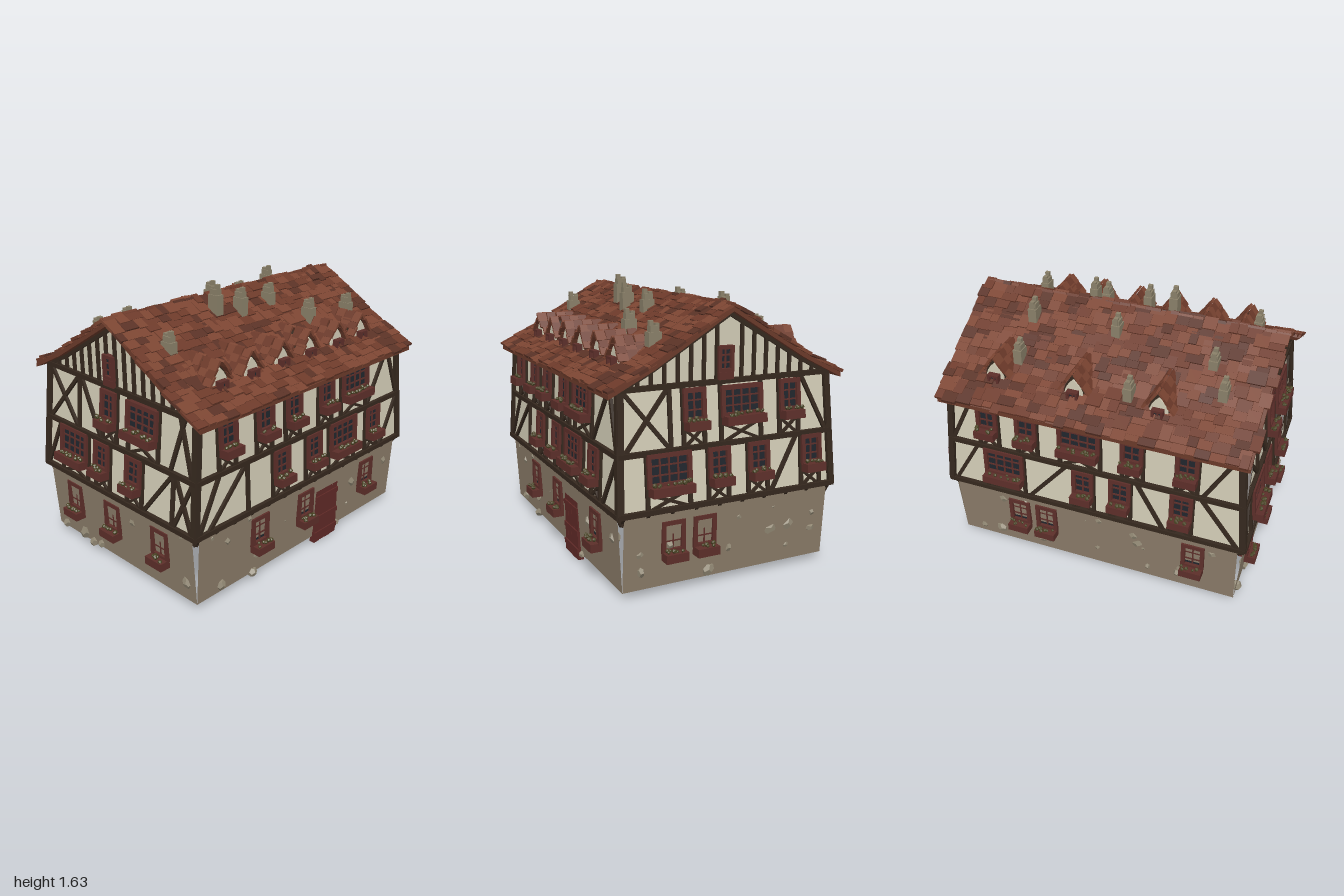
import * as THREE from 'three';
import { mergeGeometries } from 'three/addons/utils/BufferGeometryUtils.js';

const COLOR = {
  plaster: 0xd2ccb6, stone: 0x8b7c69, timber: 0x35281e, frame: 0x5c2e29, glass: 0x20252c, door: 0x5f2926,
  boulder: 0x8f8672, chimney: 0x8a8069, plants: 0x4a4424, roof: 0x6b3a2a, tileA: 0x7c4532, tileB: 0x6d3a2a, tileC: 0x5a3226,
};
let seed = 7;
const rnd = (a = 0, b = 1) => {
  seed = (seed * 16807) % 2147483647;
  return a + (b - a) * (seed / 2147483647);
};

// Collect geometries by part name, merged into one mesh each at the end
let parts;
function add(name, color, geo, matrix) {
  const g = geo.index ? geo.toNonIndexed() : geo;
  g.deleteAttribute('uv');
  if (matrix) g.applyMatrix4(matrix);
  g.computeVertexNormals();
  if (!parts.has(name)) parts.set(name, { color, geos: [] });
  parts.get(name).geos.push(g);
}
const box = (w, h, d, x = 0, y = 0, z = 0) => new THREE.BoxGeometry(w, h, d).translate(x, y, z);
const V = (x, y, z) => new THREE.Vector3(x, y, z);
const polygon = (pts) => new THREE.Shape(pts.map(([x, y]) => new THREE.Vector2(x, y)));

// Floor heights and the roof profile with its kicked-out eaves
const Y1 = 0.485, Y2 = 0.795, Y3 = 1.13;
const EAVE = [0.715, 1.122], KINK = [0.46, 1.25], RIDGE = [0, 1.525];
const roofY = (x) => {
  const a = Math.abs(x), [p, q] = a > KINK[0] ? [KINK, EAVE] : [RIDGE, KINK];
  return p[1] + (q[1] - p[1]) * (a - p[0]) / (q[0] - p[0]);
};
// Half extents: [ground, upper storeys at bottom, upper storeys at top]
const HALF_X = [0.64, 0.665, 0.637], HALF_Z = [0.9, 0.93, 0.872];
const extent = (h, y) => y < Y1 - 0.01 ? h[0] : h[1] + (h[2] - h[1]) * Math.min(1, (y - Y1) / (Y3 - Y1));

// One wall in its own frame: u runs along it, y up, z outward
function buildSide({ side, turn, ground, first, firstWide = [], second, secondWide = [], braces = [], stones, attic, dormers = [], door }) {
  const gable = attic !== undefined;
  const [across, out] = gable ? [HALF_X, HALF_Z] : [HALF_Z, HALF_X];
  const off = (y) => extent(out, y), half = (y) => extent(across, y);
  const M = new THREE.Matrix4().makeRotationY(turn).setPosition(-0.01, 0, -0.01);
  const put = (part, color, geo, local) => {
    if (local) geo.applyMatrix4(local);
    add(side + part, color, geo, M);
  };

  const panel = (part, color, pts, z) => {
    const g = new THREE.ShapeGeometry(polygon(pts)), p = g.attributes.position;
    for (let i = 0; i < p.count; i++) p.setZ(i, z ?? off(p.getY(i)));
    put(part, color, g);
  };
  const beam = (u1, y1, u2, y2, w = 0.022, d = 0.032) => {
    const a = V(u1, y1, off(y1)), b = V(u2, y2, off(y2)), x = b.clone().sub(a);
    const len = x.length(), y = V(0, 0, 1).cross(x.normalize()).normalize(), z = x.clone().cross(y);
    const m = new THREE.Matrix4().makeBasis(x, y, z).setPosition(a.add(b).multiplyScalar(0.5));
    put('Timbers', COLOR.timber, box(len, w, d), m);
  };

  // Framed window with glazing bars and an optional planter
  const windowAt = (u, y, w, h, planter = true, z = off(y)) => {
    const tilt = y > Y1 && y < Y3 ? Math.atan2(out[1] - out[2], Y3 - Y1) : 0;
    const m = new THREE.Matrix4().makeRotationX(-tilt).setPosition(u, y, z);
    const t = Math.min(0.024, w * 0.2), f = (g) => put('WindowFrames', COLOR.frame, g, m);
    put('WindowGlass', COLOR.glass, box(w - t, h - t, 0.012, 0, 0, 0.007), m);
    for (const s of [-1, 1]) {
      f(box(t, h, 0.055, s * (w - t) / 2, 0, 0.005));
      f(box(w, t, 0.055, 0, s * (h - t) / 2, 0.005));
    }
    const cols = w > 0.2 ? 4 : 2;
    for (let i = 1; i < cols; i++) f(box(0.009, h - t, 0.04, (i / cols - 0.5) * (w - 2 * t), 0, 0));
    for (const k of h > 0.1 ? [-1, 1] : [0]) f(box(w - t, 0.008, 0.04, 0, k * h / 7, 0));
    if (!planter) return;
    f(box(w * 0.95, 0.048, 0.07, 0, -h / 2 - 0.016, 0.045));
    for (let i = 0; i < w / 0.022; i++) {
      const g = new THREE.IcosahedronGeometry(rnd(0.008, 0.015), 0);
      put('Plants', COLOR.plants, g.translate(rnd(-0.42, 0.42) * w, -h / 2 + rnd(0.01, 0.025), rnd(0.04, 0.07)), m);
    }
  };
  const framedWindow = (u, y, w, h, floor, ceiling) => {
    windowAt(u, y, w, h);
    const e = w / 2 - 0.005, low = y - h / 2 - 0.03;
    for (const s of [-1, 1]) {
      beam(u + s * e, floor, u + s * e, ceiling);
      beam(u - s * e, floor, u + s * e, low, 0.016, 0.026);
    }
  };

  // Wall faces
  panel('GroundWall', COLOR.stone, [[-half(0), 0.045], [half(0), 0.045], [half(0), Y1], [-half(0), Y1]]);
  panel('UpperWall', COLOR.plaster, [[-half(Y1), Y1], [half(Y1), Y1], [half(Y3), Y3], [-half(Y3), Y3]]);

  // Floor beams, corner posts and the row of brackets under the overhang
  for (const y of [Y1, Y2, Y3]) beam(-half(y) - 0.012, y, half(y) + 0.012, y, 0.028, 0.045);
  for (const s of [-1, 1]) beam(s * half(Y1), Y1, s * half(Y3), Y3, 0.034, 0.04);
  const n = gable ? 9 : 13;
  for (let i = 0; i <= n; i++) {
    const u = (i / n * 2 - 1) * (half(Y1) - 0.02);
    const m = new THREE.Matrix4().makeRotationX(0.6).setPosition(u, Y1 - 0.03, out[0] + 0.016);
    put('Brackets', COLOR.timber, box(0.02, 0.07, 0.022), m);
  }
  for (const [a, b, c, d] of braces) beam(a, b, c, d);

  // Windows storey by storey
  for (const u of ground) windowAt(u, 0.325, 0.14, 0.18);
  for (const u of first) framedWindow(u, 0.70, 0.135, 0.17, Y1, Y2);
  for (const u of firstWide) framedWindow(u, 0.70, 0.26, 0.18, Y1, Y2);
  for (const u of second) framedWindow(u, 1.02, 0.135, 0.18, Y2, Y3);
  for (const u of secondWide) framedWindow(u, 1.02, 0.26, 0.17, Y2, Y3);

  // Boulders set into the ground floor
  for (const [u, y, r] of stones) {
    const m = new THREE.Matrix4().makeRotationZ(rnd(0, 3)).scale(V(r, r * 0.75, Math.min(r, 0.032)));
    put('Boulders', COLOR.boulder, new THREE.DodecahedronGeometry(1, 0), m.setPosition(u, y, out[0]));
  }

  // Gable triangle with close vertical studs and the small attic window
  if (gable) {
    const e = half(Y3), k = KINK[0], drop = 0.02;
    panel('Gable', COLOR.plaster, [[-e, Y3], [e, Y3], [e, roofY(e) - drop], [k, roofY(k) - drop], [0, RIDGE[1] - drop],
      [-k, roofY(k) - drop], [-e, roofY(e) - drop]], off(Y3));
    for (let i = -7; i <= 7; i++) if (Math.abs(i * 0.077 - attic) > 0.035) beam(i * 0.077, Y3, i * 0.077, roofY(i * 0.077) - 0.03, 0.018);
    for (const s of [-1, 1]) {
      beam(s * 0.64, roofY(0.64) - 0.035, s * k, roofY(k) - 0.035);
      beam(s * k, roofY(k) - 0.035, 0, RIDGE[1] - 0.04);
    }
    windowAt(attic, 1.25, 0.095, 0.14, false);
    put('WindowFrames', COLOR.frame, box(0.09, 0.04, 0.04, attic, 1.16, off(Y3) + 0.015));
  }

  // Dormers: pointed plaster front, dark arch trim, steep tiled roof
  for (const u of dormers) {
    const arch = (w, y0, top) => {
      const s = new THREE.Shape().moveTo(-w, y0).lineTo(w, y0).lineTo(w, 1.22);
      s.quadraticCurveTo(w, top - 0.05, 0, top);
      return s.quadraticCurveTo(-w, top - 0.05, -w, 1.22);
    };
    const ext = (s, d, z) => new THREE.ExtrudeGeometry(s, { depth: d, bevelEnabled: false, curveSegments: 4 }).translate(u, 0, z);
    put('DormerWalls', COLOR.plaster, ext(arch(0.056, 1.15, 1.325), 0.22, 0.325));
    put('DormerTrim', COLOR.timber, ext(arch(0.064, 1.16, 1.34), 0.2, 0.335));
    windowAt(u, 1.215, 0.068, 0.09, false, 0.547);
    put('WindowFrames', COLOR.frame, box(0.075, 0.025, 0.045, u, 1.16, 0.565));
    for (const s of [-1, 1]) for (let r = 0; r < 3; r++) for (let i = 0; i < 4; i++) {
      const m = new THREE.Matrix4().makeRotationZ(-s * (0.95 + rnd(-0.08, 0.08)));
      m.setPosition(u + s * (0.074 - r * 0.025), 1.268 + r * 0.036, 0.345 + i * 0.062 + rnd(-0.008, 0.008));
      put('DormerTiles' + (r + i) % 2, r + i & 1 ? COLOR.tileA : COLOR.tileB, box(0.062, 0.014, rnd(0.05, 0.066)), m);
    }
  }

  // Plank door with battens
  if (door !== undefined) {
    for (let i = 0; i < 4; i++) put('Door', COLOR.door, box(0.051, 0.41 - (i % 2) * 0.006, 0.036, door + (i - 1.5) * 0.053, 0.207, off(0)));
    for (const y of [0.06, 0.17, 0.31]) put('Door', COLOR.door, box(0.216, 0.03, 0.05, door, y, off(0)));
  }
}

const scatter = (count, w) => Array.from({ length: count }, () => [rnd(-w, w), rnd(0.06, 0.44), rnd(0.018, 0.045)]);

// Roof deck and overlapping irregular shingles
function buildRoof() {
  const rim = [EAVE, KINK, RIDGE, [-KINK[0], KINK[1]], [-EAVE[0], EAVE[1]]];
  const under = rim.map(([x, y]) => [x, y - 0.025]).reverse();
  const deck = new THREE.ExtrudeGeometry(polygon([...rim, ...under]), { depth: 1.85, bevelEnabled: false });
  add('roofDeck', COLOR.roof, deck.translate(-0.01, 0, -0.93));
  const rows = 15;
  for (const side of [-1, 1]) for (let r = 0; r < rows; r++) {
    const x0 = 0.69 - r * 0.0475, steep = x0 > KINK[0] ? Math.atan(0.5) : Math.atan(0.6);
    for (let z = -0.955 + rnd(0, 0.02); z < 0.9;) {
      const w = Math.min(rnd(0.045, 0.105), 0.945 - z), x = x0 + rnd(-0.01, 0.01);
      const g = box(rnd(0.072, 0.095), rnd(0.012, 0.02), w - 0.002);
      g.rotateZ(-side * (steep - rnd(0.03, 0.12))).translate(side * x - 0.01, roofY(x) + rnd(0.009, 0.016), z + w / 2);
      const c = 'ABC'[Math.floor(rnd(0, 2.6))];
      add('roofTiles' + c, COLOR['tile' + c], g);
      z += w;
    }
  }
}

// Chimney stack with collar and one or two pots
function buildChimney(x, z, top) {
  const base = roofY(x + 0.01) - 0.06, body = top - 0.06, put = (g) => add('chimneys', COLOR.chimney, g.translate(x, 0, z));
  put(box(0.075, body - base, 0.052, 0, (base + body) / 2));
  put(box(0.055, 0.04, 0.042, 0, body + 0.012));
  put(box(0.024, 0.08, 0.026, 0.016, top - 0.04));
  put(box(0.024, 0.06, 0.026, -0.018, top - 0.045));
}

export function createModel() {
  parts = new Map();
  seed = 7;
  buildSide({
    side: 'front', turn: 0, attic: -0.04,
    ground: [-0.41, -0.05, 0.37], first: [-0.11, 0.175], firstWide: [-0.375], second: [-0.055], secondWide: [0.235],
    braces: [[-0.63, Y2, -0.34, Y3], [-0.63, Y3, -0.34, Y2], [-0.34, Y2, -0.34, Y3], [-0.33, Y3, -0.13, Y2], [0.46, Y2, 0.56, Y3],
      [0.63, Y2, 0.52, Y3], [-0.65, Y1, -0.52, Y2], [0.25, Y1, 0.49, Y2], [0.49, Y1, 0.49, Y2], [0.5, Y2, 0.65, Y1], [0.5, Y1, 0.64, Y2]],
    stones: [[-0.37, 0.08, 0.05], [-0.56, 0.07, 0.035], [-0.28, 0.05, 0.035], [-0.2, 0.07, 0.03], [0.13, 0.36, 0.045],
      [0.55, 0.44, 0.04], [0.57, 0.16, 0.038], [-0.17, 0.45, 0.025]],
  });
  buildSide({
    side: 'right', turn: Math.PI / 2, door: 0.2,
    ground: [-0.42, -0.015, 0.595], first: [-0.26, 0.03, 0.62], firstWide: [0.31],
    second: [-0.68, -0.39, -0.15, 0.145], secondWide: [0.425], dormers: [-0.62, -0.38, -0.13, 0.11, 0.37, 0.61],
    braces: [[-0.91, Y1, -0.74, Y2], [-0.84, Y1, -0.53, Y2], [-0.53, Y1, -0.53, Y2], [0.56, Y2, 0.77, Y3], [0.77, Y3, 0.89, Y2],
      [0.72, Y1, 0.9, Y2]],
    stones: [[-0.8, 0.43, 0.03], [-0.51, 0.43, 0.035], [-0.68, 0.36, 0.035], [-0.43, 0.16, 0.03], [-0.46, 0.05, 0.032],
      [-0.72, 0.09, 0.035], [0.46, 0.3, 0.045], [0.81, 0.33, 0.038], [-0.19, 0.28, 0.018], [0.43, 0.15, 0.015], [0.33, 0.05, 0.025]],
  });
  buildSide({
    side: 'back', turn: Math.PI, attic: -0.03,
    ground: [-0.35, -0.16], first: [-0.08, 0.17, 0.52], firstWide: [-0.38], second: [-0.22, 0.38], secondWide: [0.07],
    braces: [[-0.63, Y2, -0.36, Y3], [-0.63, Y3, -0.36, Y2], [-0.36, Y2, -0.36, Y3], [0.46, Y3, 0.63, Y2], [0.25, Y1, 0.43, Y2]],
    stones: scatter(14, 0.58),
  });
  buildSide({
    side: 'left', turn: -Math.PI / 2,
    ground: [-0.48, -0.3, 0.64], first: [-0.04, 0.19, 0.56], firstWide: [-0.55],
    second: [-0.64, -0.39, 0.26, 0.58], secondWide: [-0.06], dormers: [-0.62, -0.13, 0.37],
    braces: [[-0.9, Y1, -0.72, Y2], [-0.4, Y1, -0.14, Y2], [0.28, Y2, 0.46, Y1], [0.66, Y2, 0.9, Y1], [0.67, Y2, 0.86, Y3],
      [-0.89, Y2, -0.73, Y3]],
    stones: scatter(18, 0.82),
  });
  buildRoof();
  // x, z, top
  const chimneys = [[0.35, -0.71, 1.45], [-0.42, -0.53, 1.43], [-0.18, -0.54, 1.57], [0.33, -0.36, 1.48], [0.14, -0.2, 1.57],
    [-0.175, -0.02, 1.56], [0.155, 0.06, 1.59], [-0.5, 0.17, 1.38], [0.12, 0.23, 1.63], [-0.25, 0.58, 1.5], [-0.4, 0.68, 1.43], [0.26, 0.715, 1.49]];
  for (const c of chimneys) buildChimney(...c);

  const model = new THREE.Group();
  model.name = 'halfTimberedHouse';
  for (const [name, { color, geos }] of parts) {
    const material = new THREE.MeshStandardMaterial({ color });
    if (/Wall$|Gable$/.test(name)) material.side = THREE.DoubleSide;
    const mesh = new THREE.Mesh(mergeGeometries(geos), material);
    mesh.name = name;
    model.add(mesh);
  }
  return model;
}
